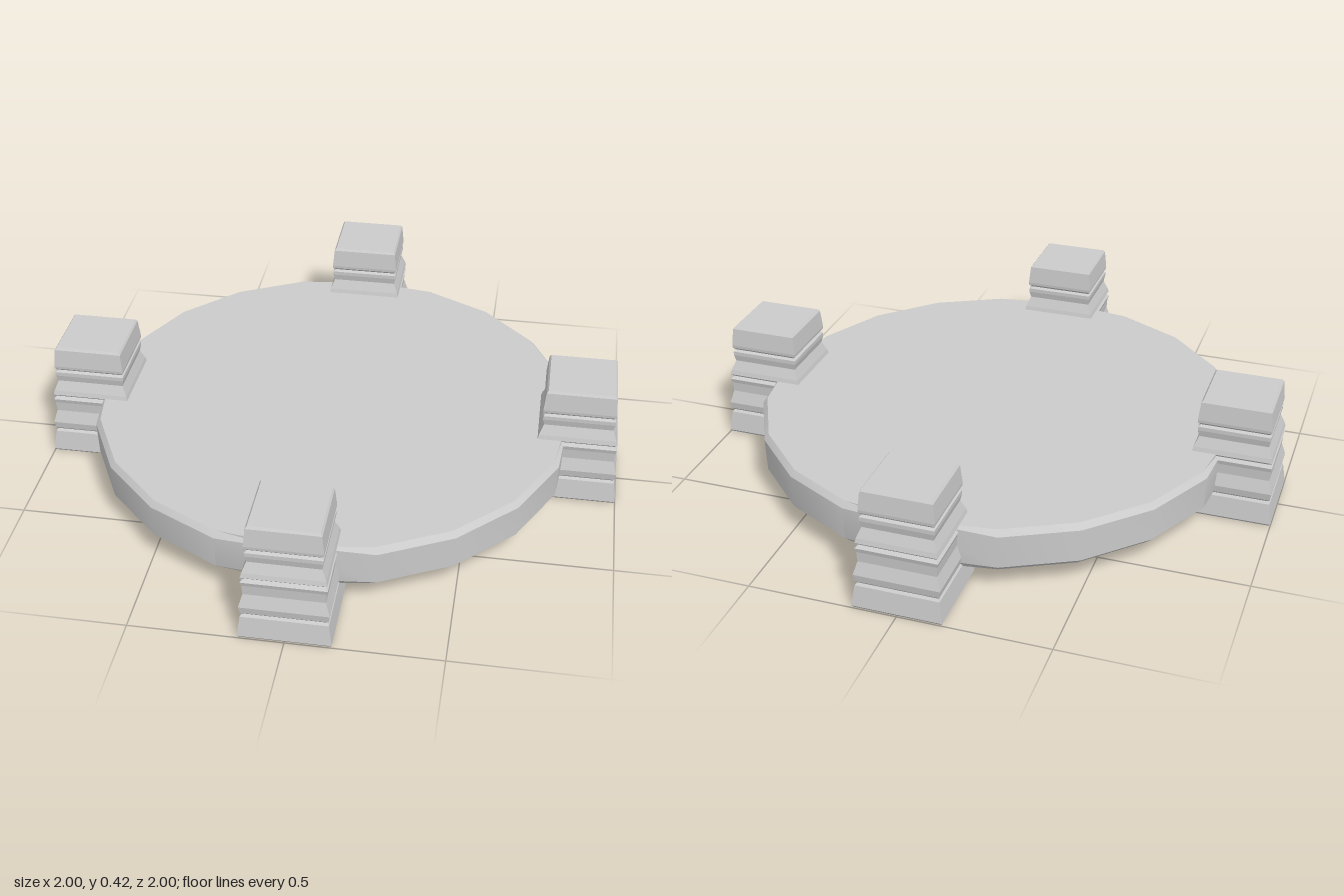
import * as THREE from 'three';
import { toCreasedNormals } from 'three/addons/utils/BufferGeometryUtils.js';

const stone = new THREE.MeshStandardMaterial({ color: 0xcccccc });
const cutStone = new THREE.MeshStandardMaterial({ color: 0xcccccc, flatShading: true });

// Turned solid from [radius, height] pairs
function turned(profile, sides, scale = 1) {
  return new THREE.LatheGeometry(profile.map(([r, y]) => new THREE.Vector2(r * scale, y)), sides);
}

// Round slab: twenty sides, bevelled rims, slightly flattened behind the pillars
function slabGeometry() {
  const g = turned([[0, 0.075], [0.805, 0.075], [0.832, 0.1], [0.836, 0.215], [0.82, 0.235], [0, 0.235]], 20);
  const p = g.attributes.position;
  const limit = (v) => THREE.MathUtils.clamp(v, -0.817, 0.817);
  for (let i = 0; i < p.count; i++) p.setXYZ(i, limit(p.getX(i)), p.getY(i), limit(p.getZ(i)));
  return toCreasedNormals(g, 0.5);
}

// One worn square block, given as [half width, height] pairs
function block(name, profile) {
  const closed = [[0, profile[0][1]], ...profile, [0, profile[profile.length - 1][1]]];
  const g = turned(closed, 4, Math.SQRT2).rotateY(Math.PI / 4);
  const mesh = new THREE.Mesh(g, cutStone);
  mesh.name = name;
  return mesh;
}

// Four stacked blocks with narrow grooves between them
function pillar() {
  const group = new THREE.Group();
  group.add(
    block('baseBlock', [[0.143, 0], [0.149, 0.008], [0.139, 0.08], [0.132, 0.088]]),
    block('lowerBlock', [[0.13, 0.086], [0.138, 0.095], [0.142, 0.12], [0.129, 0.165], [0.131, 0.2], [0.135, 0.215], [0.124, 0.226]]),
    block('upperBlock', [[0.124, 0.224], [0.134, 0.234], [0.13, 0.25], [0.116, 0.285], [0.121, 0.308], [0.121, 0.322], [0.112, 0.33]]),
    block('topBlock', [[0.112, 0.328], [0.122, 0.338], [0.123, 0.348], [0.117, 0.412], [0.111, 0.42]]),
  );
  return group;
}

export function createModel() {
  const model = new THREE.Group();
  model.name = 'roundPlatform';

  const slab = new THREE.Mesh(slabGeometry(), stone);
  slab.name = 'slab';
  model.add(slab);

  // Pillars around the rim
  ['frontPillar', 'leftPillar', 'backPillar', 'rightPillar'].forEach((name, i) => {
    const p = pillar();
    const a = (i * Math.PI) / 2;
    p.name = name;
    p.position.set(Math.sin(a) * 0.851, 0, Math.cos(a) * 0.851);
    p.rotation.y = a;
    model.add(p);
  });
  return model;
}
